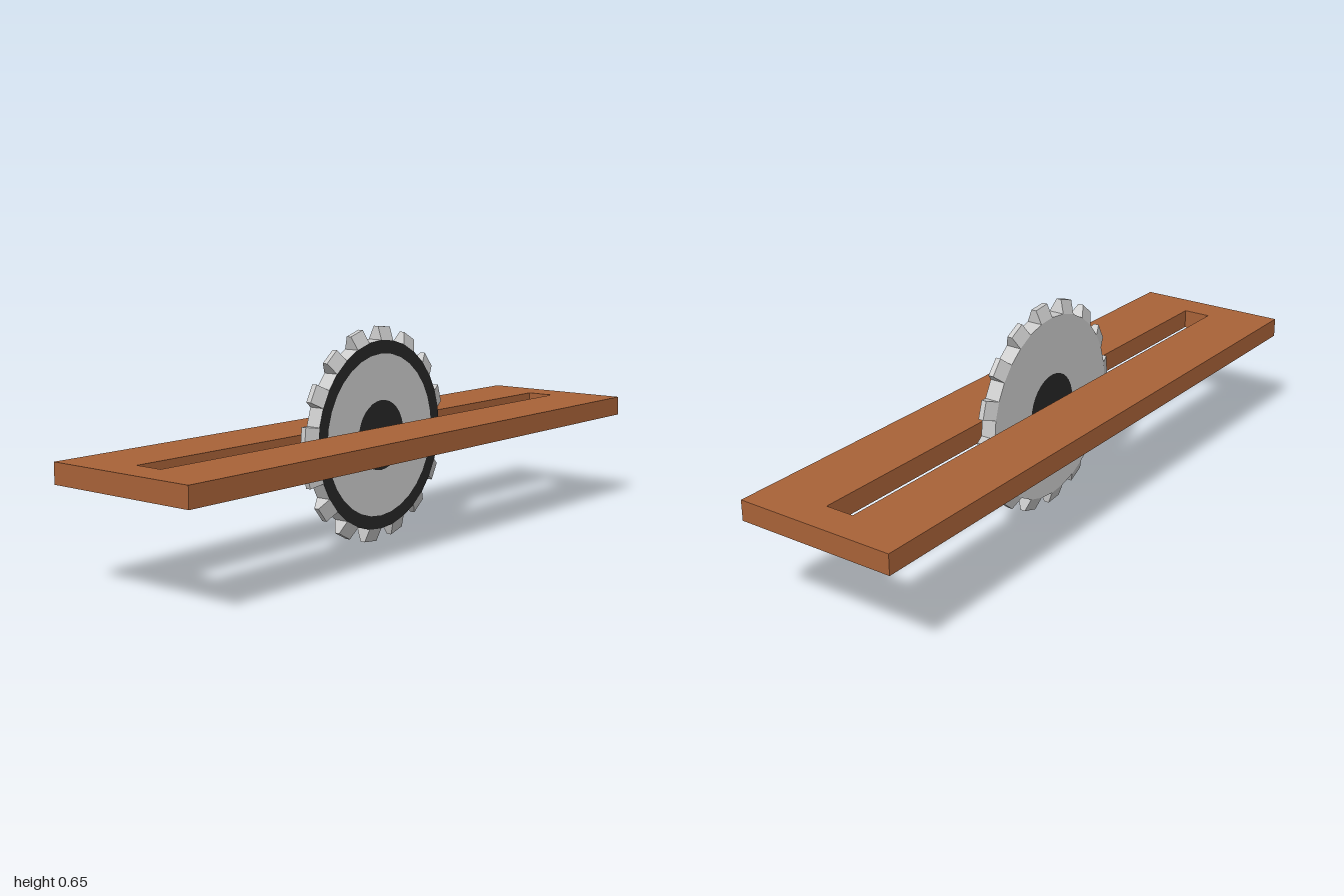
import * as THREE from 'three';

const SIDES = 32;         // facets of the blade; every other one carries a tooth
const CENTRE_Y = 0.325;
const RADIUS = 0.283;
const HALF = 0.024;       // half the blade thickness
const TOOTH_HEIGHT = 0.04;

function material(color, flatShading = false) {
  return new THREE.MeshStandardMaterial({ color, flatShading });
}

function addMesh(parent, name, geometry, mat) {
  const mesh = new THREE.Mesh(geometry, mat);
  mesh.name = name;
  parent.add(mesh);
  return mesh;
}

// Flat band on one face of the blade; side is +1 (left) or -1 (right)
function band(inner, outer, side) {
  const g = inner > 0
    ? new THREE.RingGeometry(inner, outer, SIDES)
    : new THREE.CircleGeometry(outer, SIDES);
  return g.rotateY(side * Math.PI / 2).translate(side * HALF, 0, 0);
}

// Wooden table board with a long slot
function createBoard(wood) {
  const w = 0.247, l = 1, sw = 0.044, sl = 0.9;
  const rect = (path, x, y) =>
    path.moveTo(-x, -y).lineTo(x, -y).lineTo(x, y).lineTo(-x, y).closePath();
  const shape = rect(new THREE.Shape(), w, l);
  shape.holes.push(rect(new THREE.Path(), sw, sl));
  return new THREE.ExtrudeGeometry(shape, { depth: 0.06, bevelEnabled: false })
    .rotateX(-Math.PI / 2)
    .translate(0, 0.2935, 0);
}

// Straight-sided tooth, narrowing across the blade towards its tip
function createTooth() {
  const apothem = RADIUS * Math.cos(Math.PI / SIDES);
  const width = 2 * RADIUS * Math.sin(Math.PI / SIDES);
  const g = new THREE.BoxGeometry(HALF * 2, TOOTH_HEIGHT, width);
  const p = g.attributes.position;
  for (let i = 0; i < p.count; i++) {
    if (p.getY(i) > 0) p.setX(i, p.getX(i) / 3);
  }
  g.translate(0, apothem + TOOTH_HEIGHT / 2, 0);
  g.computeVertexNormals();
  return g;
}

export function createModel() {
  const model = new THREE.Group();
  model.name = 'sawTrap';
  const wood = material(0xa86238);
  const steel = material(0xcccccc, true);
  const black = material(0x262626);

  addMesh(model, 'slottedBoard', createBoard(), wood);

  const blade = new THREE.Group();
  blade.name = 'sawBlade';
  blade.position.y = CENTRE_Y;
  model.add(blade);

  // Rim
  const rim = new THREE.CylinderGeometry(RADIUS, RADIUS, HALF * 2, SIDES, 1, true);
  addMesh(blade, 'bladeRim', rim.rotateZ(-Math.PI / 2), steel);

  // Faces: the dark outer ring is on the left side only
  addMesh(blade, 'leftHub', band(0, 0.105, 1), black);
  addMesh(blade, 'leftFace', band(0.105, 0.243, 1), steel);
  addMesh(blade, 'leftOuterRing', band(0.243, RADIUS, 1), black);
  addMesh(blade, 'rightHub', band(0, 0.105, -1), black);
  addMesh(blade, 'rightFace', band(0.105, RADIUS, -1), steel);

  // Teeth on alternate facets
  const tooth = createTooth();
  for (let i = 0; i < SIDES; i += 2) {
    const mesh = addMesh(blade, 'tooth', tooth, steel);
    mesh.rotation.x = -(i + 0.5) * 2 * Math.PI / SIDES;
  }
  return model;
}
